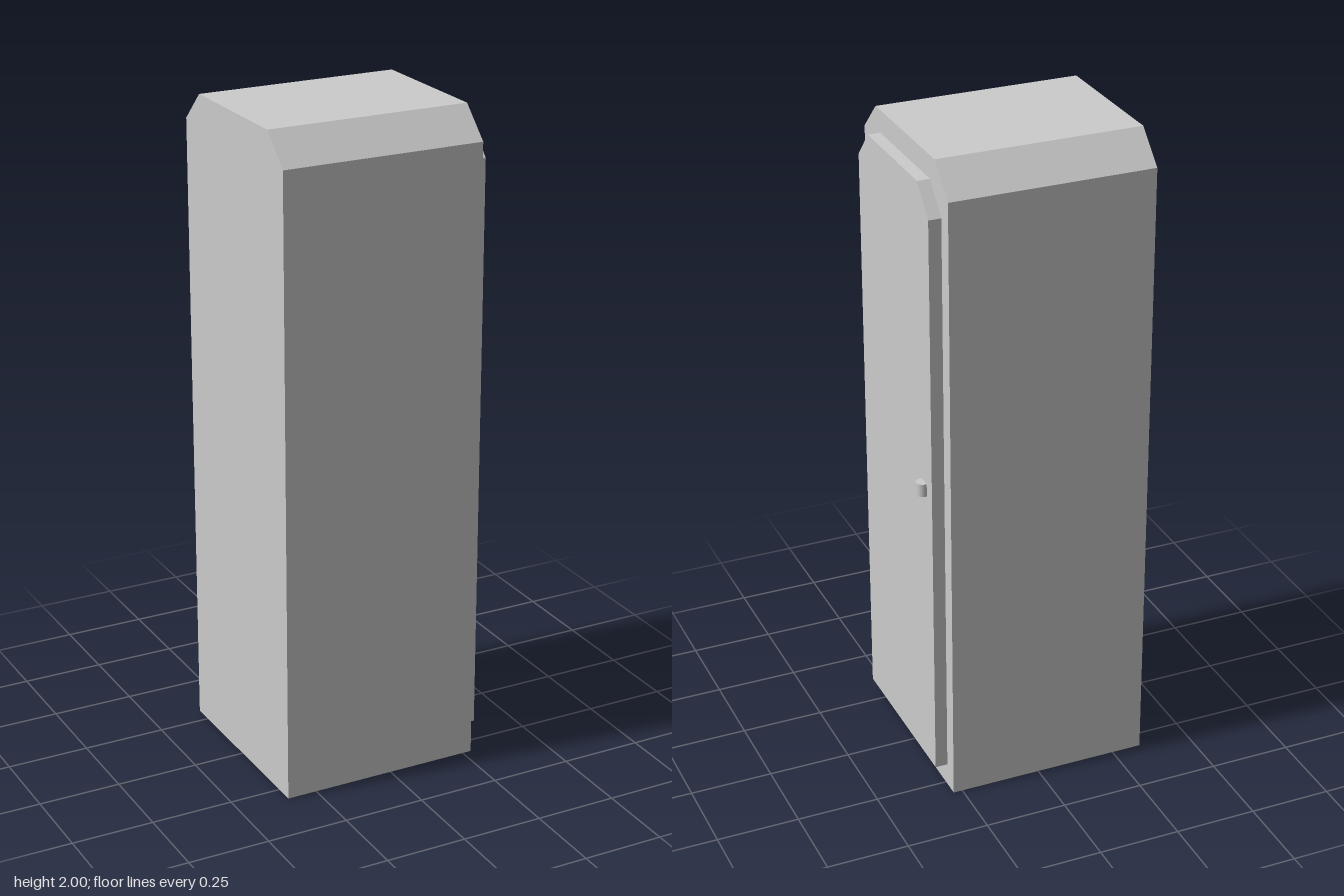
import * as THREE from 'three';

const material = new THREE.MeshStandardMaterial({ color: 0xcccccc, flatShading: true });
const smooth = new THREE.MeshStandardMaterial({ color: 0xcccccc });

// Upright slab with two chamfered top corners, running along x from x0 to x1
function chamferedSlab(name, halfWidth, bottom, top, topHalf, shoulder, x0, x1) {
  const shape = new THREE.Shape([
    [-halfWidth, bottom], [halfWidth, bottom], [halfWidth, shoulder],
    [topHalf, top], [-topHalf, top], [-halfWidth, shoulder],
  ].map(([x, y]) => new THREE.Vector2(x, y)));
  const geometry = new THREE.ExtrudeGeometry(shape, { depth: x1 - x0, bevelEnabled: false });
  geometry.rotateY(Math.PI / 2).translate(x0, 0, 0);
  const mesh = new THREE.Mesh(geometry, material);
  mesh.name = name;
  return mesh;
}

export function createModel() {
  const group = new THREE.Group();
  group.name = 'cabinet';

  // Cabinet body and the door standing proud of its +x side
  group.add(chamferedSlab('body', 0.31, 0, 2, 0.218, 1.91, -0.342, 0.278));
  group.add(chamferedSlab('door', 0.262, 0.072, 1.932, 0.185, 1.847, 0.278, 0.316));

  // Small upright round knob, partly sunk into the door
  const knob = new THREE.Mesh(new THREE.CylinderGeometry(0.02, 0.02, 0.04, 24), smooth);
  knob.name = 'doorKnob';
  knob.position.set(0.321, 1.002, -0.204);
  group.add(knob);

  return group;
}
